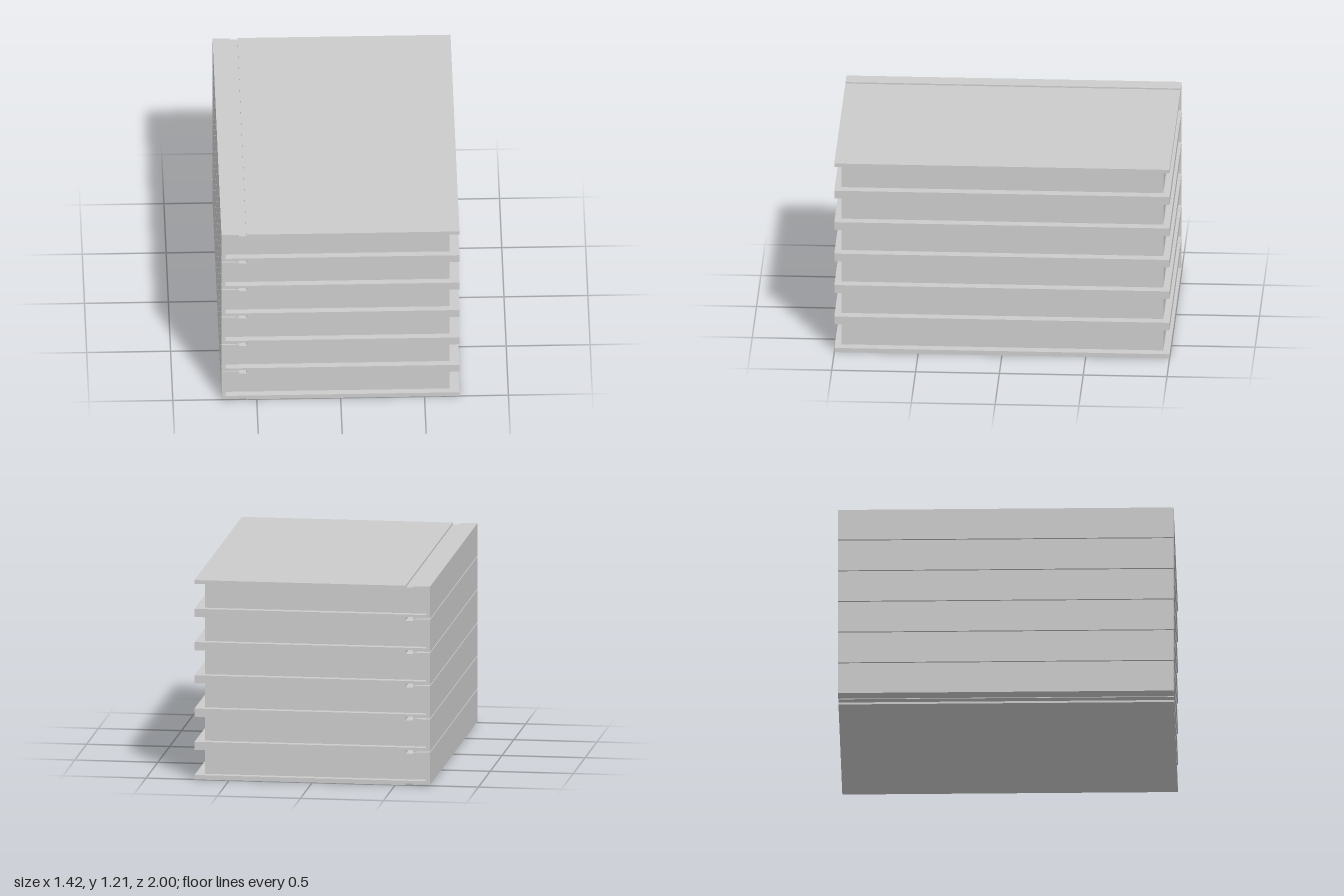
import * as THREE from 'three';

const COUNT = 6, PITCH = 0.2016, DEPTH = 2;

export function createModel() {
  const stack = new THREE.Group();
  stack.name = 'bookStack';
  const material = new THREE.MeshStandardMaterial({ color: 0xcccccc });

  // C-shaped cover section: boards, hinge grooves and spine
  const profile = [
    [0.708, 0], [0.708, 0.027], [-0.685, 0.027], [-0.685, 0.179], [0.708, 0.179], [0.708, 0.2016],
    [-0.562, 0.2016], [-0.562, 0.191], [-0.607, 0.191], [-0.607, 0.2], [-0.71, 0.2016],
    [-0.71, 0.006], [-0.63, 0.006], [-0.63, 0.002], [-0.607, 0.002], [-0.607, 0.013],
    [-0.562, 0.013], [-0.562, 0],
  ].map(([x, y]) => new THREE.Vector2(x, y));
  const coverGeometry = new THREE.ExtrudeGeometry(new THREE.Shape(profile), {
    depth: DEPTH, bevelEnabled: false,
  });
  coverGeometry.translate(0, 0, -DEPTH / 2);

  // Page block, set in from three edges of the cover
  const pageGeometry = new THREE.BoxGeometry(1.335, 0.15, 1.92);
  pageGeometry.translate(-0.0175, 0.103, 0);

  for (let i = 0; i < COUNT; i++) {
    const book = new THREE.Group();
    book.name = `book${i + 1}`;
    const cover = new THREE.Mesh(coverGeometry, material);
    cover.name = 'cover';
    const pages = new THREE.Mesh(pageGeometry, material);
    pages.name = 'pages';
    book.add(cover, pages);
    book.position.y = i * PITCH;
    stack.add(book);
  }
  return stack;
}
